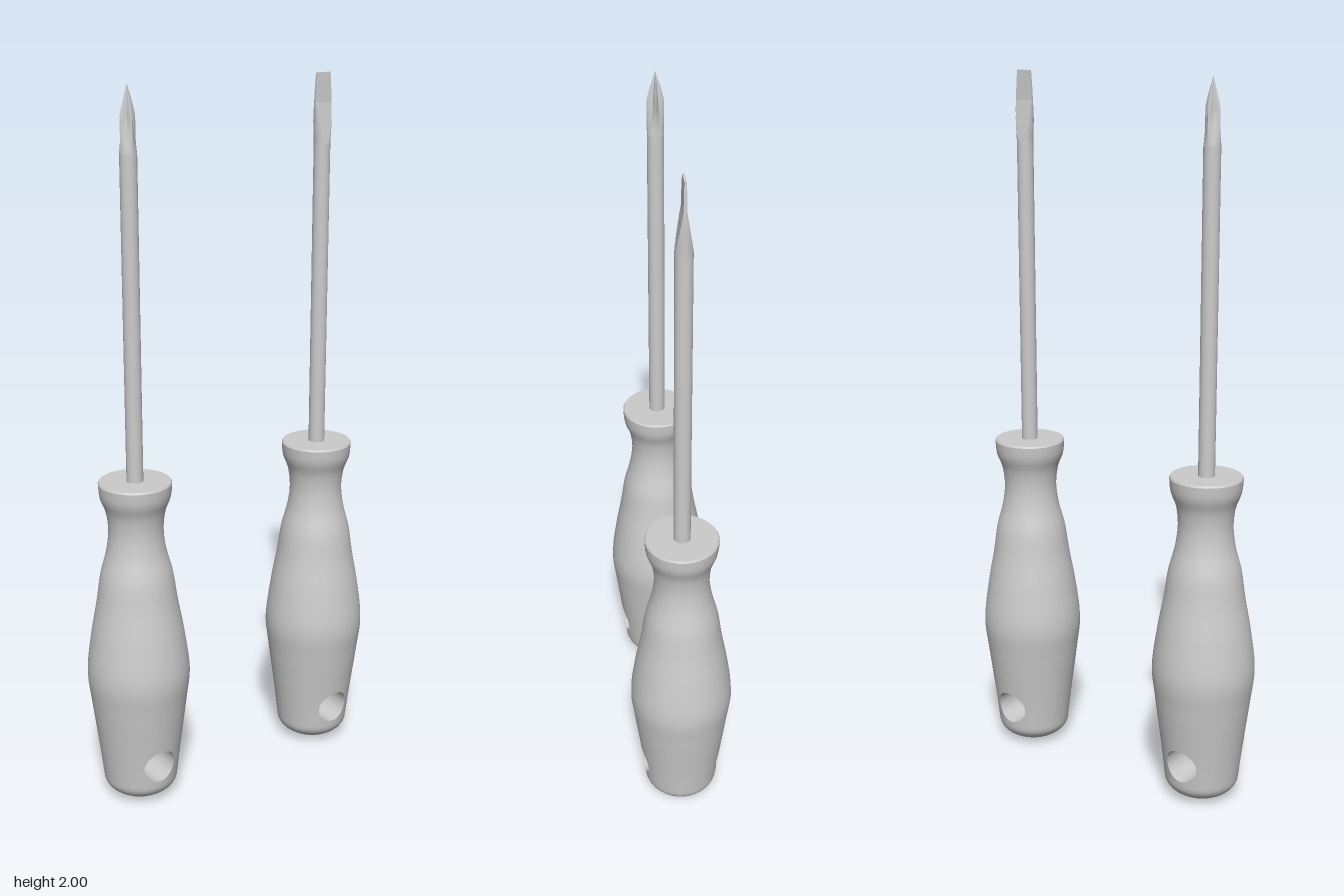
import * as THREE from 'three';
import { ParametricGeometry } from 'three/addons/geometries/ParametricGeometry.js';

const material = new THREE.MeshStandardMaterial({ color: 0xcccccc });
const flatMaterial = new THREE.MeshStandardMaterial({ color: 0xcccccc, flatShading: true });
const { lerp, clamp } = THREE.MathUtils;

// Grip profile (radius, height) above the rounded butt
const grip = new THREE.SplineCurve([
  [0.105, 0.06], [0.113, 0.13], [0.122, 0.2], [0.135, 0.3], [0.144, 0.39], [0.131, 0.5], [0.113, 0.6],
  [0.101, 0.68], [0.083, 0.75], [0.076, 0.81], [0.082, 0.865], [0.097, 0.905], [0.101, 0.945],
].map(([r, y]) => new THREE.Vector2(r, y))).getPoints(96);

function gripRadius(y) {
  const i = clamp(grip.findIndex((p) => p.y >= y), 1, grip.length - 1);
  const a = grip[i - 1], b = grip[i];
  return lerp(a.x, b.x, clamp((y - a.y) / (b.y - a.y), 0, 1));
}

const BAND_LOW = 0.06, BAND_HIGH = 0.19, HOLE_Y = 0.125, HOLE_R = 0.049;
const SHAFT_R = 0.023, TIP_START = 1.81;

// Point of the hang hole's outline; u runs once around it
function holePoint(u) {
  const a = u * Math.PI * 2 - Math.PI / 4;
  return [HOLE_R * Math.cos(a), HOLE_Y + HOLE_R * Math.sin(a)];
}

// Half of the grip band, blended from its rectangular border to the hole
function holedBand(u, v, target) {
  const side = Math.floor(u * 4) % 4;
  const t = (u * 4 - Math.floor(u * 4)) * 2 - 1;
  const [sx, sy] = [[1, t], [-t, 1], [-1, -t], [t, -1]][side];
  const [hx, hy] = holePoint(u);
  const y = lerp(lerp(BAND_LOW, BAND_HIGH, (sy + 1) / 2), hy, v);
  const theta = lerp(sx * Math.PI / 2, Math.asin(hx / gripRadius(hy)), v);
  const r = gripRadius(y);
  target.set(r * Math.sin(theta), y, r * Math.cos(theta));
}

// Inner wall of the hang hole, from front to back
function holeWall(u, v, target) {
  const [x, y] = holePoint(u);
  target.set(x, y, Math.sqrt(gripRadius(y) ** 2 - x * x) * (1 - 2 * v));
}

// Four ribs with flutes between them, running to a point
function crossTip(u, v, target) {
  const a = u * Math.PI * 2;
  const y = lerp(TIP_START, 2, v);
  const taper = y < 1.92 ? 1 : Math.max(0.04, 1 - ((y - 1.92) / 0.08) ** 1.3);
  const flute = 0.6 * clamp((y - 1.83) / 0.09, 0, 1);
  const r = SHAFT_R * taper * (1 - flute * Math.abs(Math.sin(2 * a)));
  target.set(r * Math.sin(a), y, r * Math.cos(a));
}

// Round shaft pressed to a thin blade that flares slightly
function bladeTip(u, v, target) {
  const a = u * Math.PI * 2;
  const y = lerp(TIP_START, 2, Math.min(1, v / 0.95));
  const close = v > 0.951 ? (1 - v) / 0.05 : 1;
  const thick = y < 1.92 ? lerp(SHAFT_R, 0.005, (y - TIP_START) / 0.11) : lerp(0.005, 0.003, (y - 1.92) / 0.08);
  const flare = SHAFT_R + 0.004 * Math.sin(Math.PI * clamp((y - TIP_START) / 0.19, 0, 1));
  target.set(flare * Math.sin(a) * close, y, clamp(SHAFT_R * Math.cos(a), -thick, thick) * close);
}

function add(group, name, geometry, mat = material) {
  const mesh = new THREE.Mesh(geometry, mat);
  mesh.name = name;
  group.add(mesh);
  return mesh;
}

function screwdriver(name, x, tip) {
  const group = new THREE.Group();
  group.name = name;
  group.position.x = x;

  // Rounded butt
  const butt = Array.from({ length: 11 }, (_, i) => {
    const a = (i / 10) * Math.PI / 2;
    return new THREE.Vector2(0.105 * Math.sin(a), BAND_LOW - 0.06 * Math.cos(a) + (i === 0 ? 0.0002 : 0));
  });
  add(group, 'handleButt', new THREE.LatheGeometry(butt, 32));

  // Band with the hang hole
  const band = new ParametricGeometry(holedBand, 64, 8);
  add(group, 'handleHoleFront', band);
  add(group, 'handleHoleBack', band).rotation.y = Math.PI;
  add(group, 'hangHole', new ParametricGeometry(holeWall, 64, 1));

  // Swelling grip, neck and collar
  const body = Array.from({ length: 57 }, (_, i) => {
    const y = lerp(BAND_HIGH, 0.945, i / 56);
    return new THREE.Vector2(gripRadius(y), y);
  });
  add(group, 'grip', new THREE.LatheGeometry(body, 32));
  const rim = [new THREE.Vector2(0.101, 0.945), new THREE.Vector2(0.098, 0.95)];
  add(group, 'collarRim', new THREE.LatheGeometry(rim, 32));
  const cap = new THREE.CircleGeometry(0.098, 32).rotateX(-Math.PI / 2);
  add(group, 'collarTop', cap).position.y = 0.95;

  // Steel shaft and working tip
  const shaft = new THREE.CylinderGeometry(SHAFT_R, SHAFT_R, TIP_START - 0.94, 32, 1, true);
  add(group, 'shaft', shaft).position.y = (TIP_START + 0.94) / 2;
  add(group, 'tip', new ParametricGeometry(tip, 32, 20), flatMaterial);
  return group;
}

export function createModel() {
  const model = new THREE.Group();
  model.name = 'screwdrivers';
  model.add(screwdriver('crossScrewdriver', -0.31, crossTip));
  model.add(screwdriver('flatScrewdriver', 0.31, bladeTip));
  return model;
}
